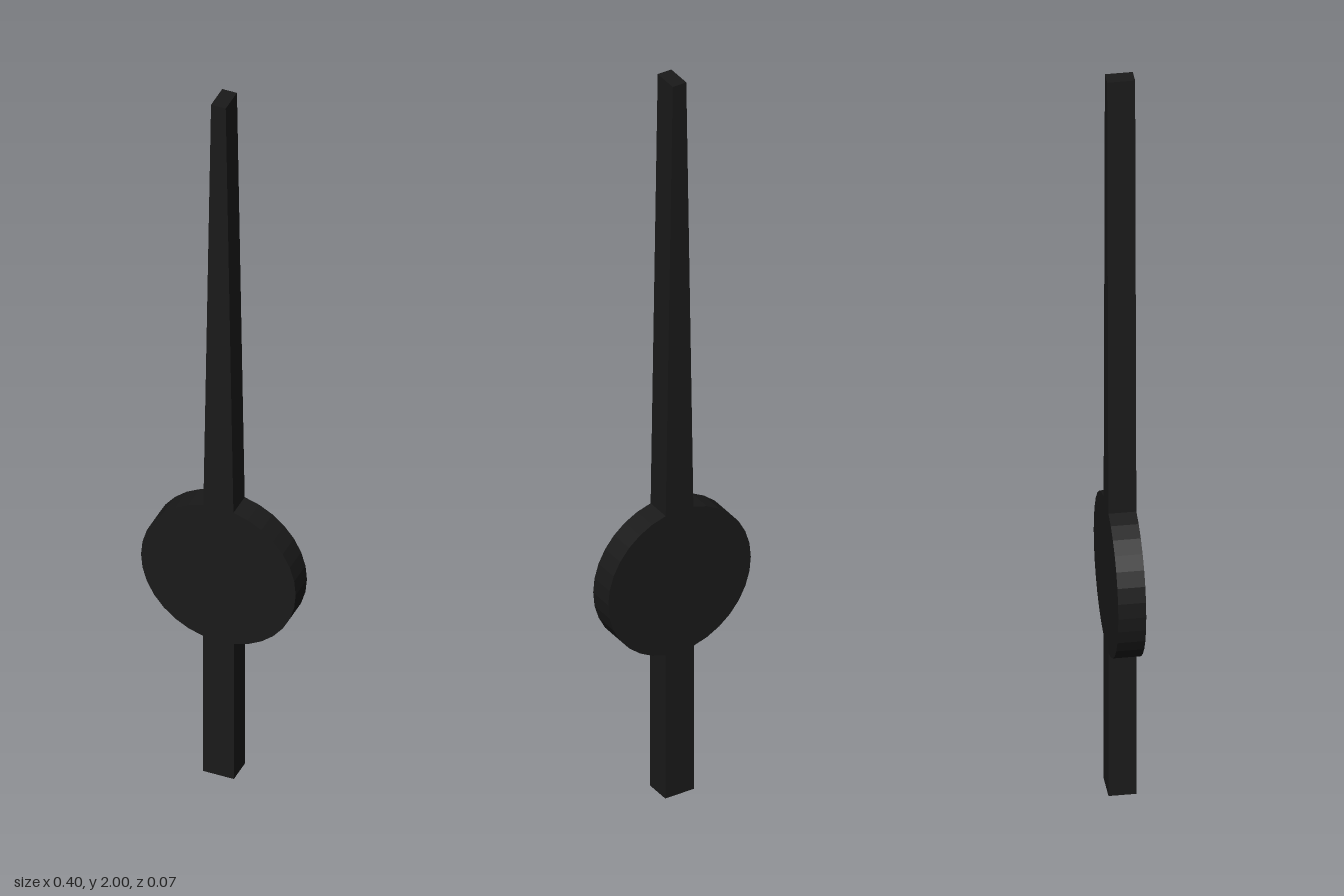
import * as THREE from 'three';

const DEPTH = 0.067;
const HUB_Y = 0.6;
const HUB_RADIUS = 0.2;

export function createModel() {
  const group = new THREE.Group();
  group.name = 'gaugeHand';
  const material = new THREE.MeshStandardMaterial({ color: 0x1a1a1a, flatShading: true });

  const add = (name, geometry) => {
    const mesh = new THREE.Mesh(geometry, material);
    mesh.name = name;
    group.add(mesh);
    return mesh;
  };

  // Flat bar from y0 to y1 whose half-width runs from w0 to w1
  const bar = (y0, y1, w0, w1) => {
    const outline = new THREE.Shape([
      new THREE.Vector2(-w0, y0),
      new THREE.Vector2(w0, y0),
      new THREE.Vector2(w1, y1),
      new THREE.Vector2(-w1, y1),
    ]);
    return new THREE.ExtrudeGeometry(outline, { depth: DEPTH, bevelEnabled: false })
      .translate(0, 0, -DEPTH / 2);
  };

  // Straight tail below the hub and tapering pointer above it
  add('tail', bar(0, HUB_Y - HUB_RADIUS + 0.01, 0.04, 0.04));
  add('pointer', bar(HUB_Y + HUB_RADIUS - 0.01, 2, 0.039, 0.019));

  // Round hub disc, facing front and back
  const hub = add('hubDisc', new THREE.CylinderGeometry(HUB_RADIUS, HUB_RADIUS, DEPTH, 32).rotateX(Math.PI / 2));
  hub.position.y = HUB_Y;

  return group;
}
